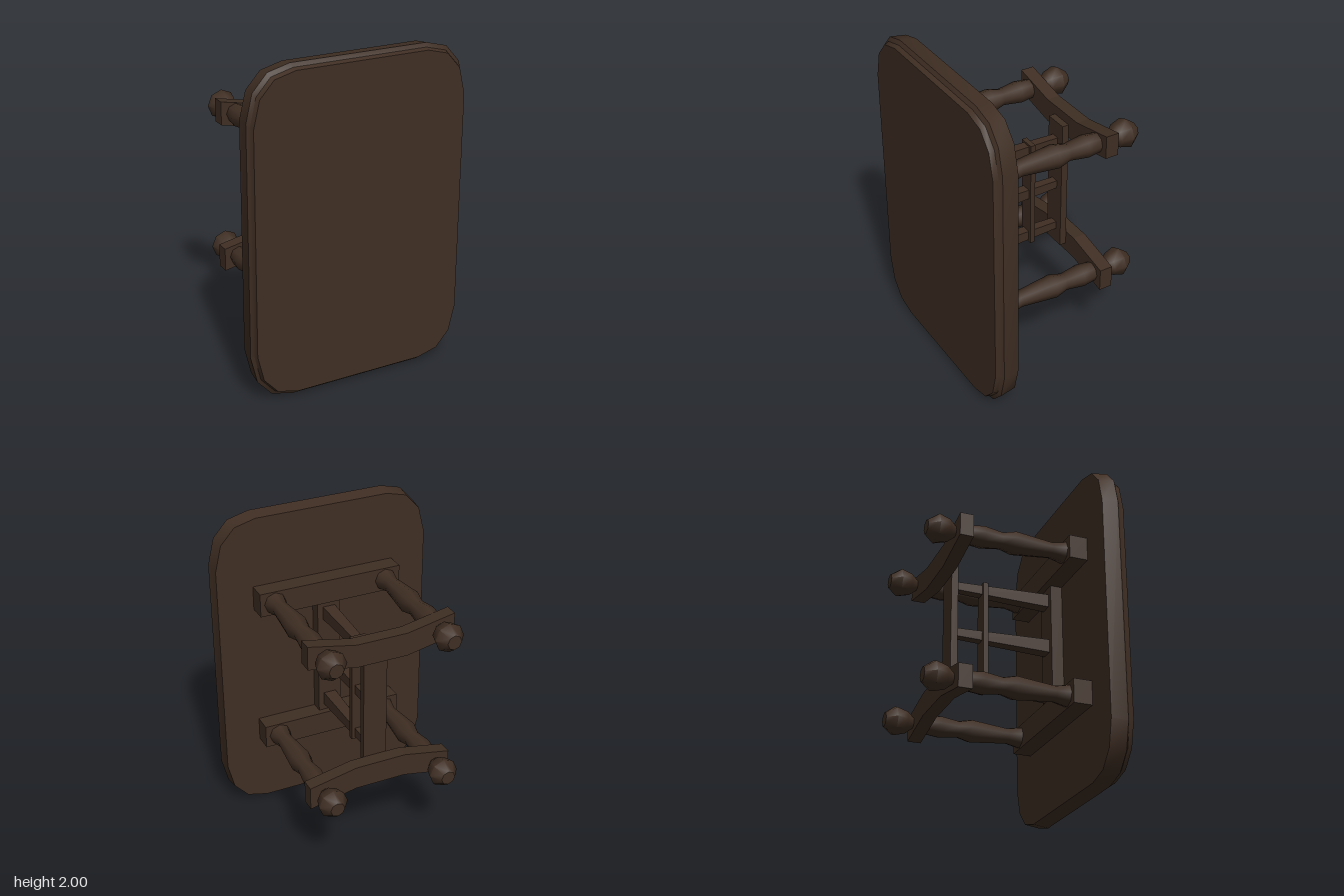
import * as THREE from 'three';
import { toCreasedNormals } from 'three/addons/utils/BufferGeometryUtils.js';

export function createModel() {
  const model = new THREE.Group();
  const wood = new THREE.MeshStandardMaterial({ color: 0x3f2e23 });
  wood.name = 'dark wood';

  const add = (name, geometry, x = 0, y = 0, z = 0) => {
    const mesh = new THREE.Mesh(geometry, wood);
    mesh.name = name;
    mesh.position.set(x, y, z);
    model.add(mesh);
    return mesh;
  };

  // Box given by half width, y range and z range
  const block = (name, hx, y0, y1, z0, z1) =>
    add(name, new THREE.BoxGeometry(hx * 2, y1 - y0, z1 - z0), 0, (y0 + y1) / 2, (z0 + z1) / 2);

  // Turned part around the z axis, from [radius, z] pairs running towards the back
  const turned = (profile, crease) => {
    const points = profile.map(([r, z]) => new THREE.Vector2(r, -z));
    const geometry = new THREE.LatheGeometry(points, 8).rotateX(-Math.PI / 2);
    return crease ? toCreasedNormals(geometry, crease) : geometry;
  };

  // Table top: a rounded outline lofted through a moulded edge
  const corner = [[0.695, 0.7], [0.655, 0.865], [0.565, 0.965], [0.43, 1]];
  const flip = (sx, sy, list) => list.map(([x, y]) => [x * sx, y * sy]);
  const back = [...corner].reverse();
  const outline = [
    ...corner, ...flip(-1, 1, back), ...flip(-1, -1, corner), ...flip(1, -1, back),
  ];
  const sections = [
    [0, 0.42], [0.987, 0.42], [1, 0.52], [0.977, 0.535], [0.967, 0.565], [0, 0.565],
  ];
  const positions = [];
  const index = [];
  const n = outline.length;
  sections.forEach(([s, z], i) => {
    outline.forEach(([x, y], j) => {
      positions.push(x * s, y * s, z);
      if (i === sections.length - 1) return;
      const a = i * n + j, b = i * n + (j + 1) % n;
      if (i > 0) index.push(a, b, a + n);
      if (i < sections.length - 2) index.push(b, b + n, a + n);
      if (i === 0) index.push(b, b + n, a + n);
    });
  });
  const top = new THREE.BufferGeometry();
  top.setAttribute('position', new THREE.Float32BufferAttribute(positions, 3));
  top.setIndex(index);
  add('tableTop', toCreasedNormals(top, 0.6), 0, 1, 0);

  // Two leg frames, mirrored about mid height
  const legGeometry = turned([
    [0.07, 0.31], [0.05, 0.22], [0.074, -0.02], [0.053, -0.1], [0.07, -0.22], [0.06, -0.31],
  ]);
  const ballGeometry = turned([
    [0.03, -0.385], [0.072, -0.435], [0.092, -0.505], [0.045, -0.567], [0, -0.567],
  ], 0.9);

  for (const side of [1, -1]) {
    const label = side > 0 ? 'upper' : 'lower';
    const legY = side > 0 ? 1.475 : 0.54;
    block(label + 'TopRail', 0.46, legY - 0.075, legY + 0.075, 0.305, 0.42);

    for (const x of [-0.365, 0.365]) {
      add(label + 'Leg', legGeometry, x, legY);
      add(label + 'BallFoot', ballGeometry, x, legY);
    }

    // Foot rail bowed towards the middle of the table
    const bow = -0.06 * side;
    const shape = new THREE.Shape([
      [-0.46, -0.073], [-0.16, -0.073 + bow], [0.16, -0.073 + bow], [0.46, -0.073],
      [0.46, 0.073], [0.16, 0.073 + bow], [-0.16, 0.073 + bow], [-0.46, 0.073],
    ].map(([x, y]) => new THREE.Vector2(x, y)));
    const rail = new THREE.ExtrudeGeometry(shape, { depth: 0.085, bevelEnabled: false });
    add(label + 'FootRail', rail, 0, side > 0 ? 1.485 : 0.528, -0.39);
  }

  // Central stretcher lattice
  block('topStretcher', 0.075, 0.6, 1.41, 0.345, 0.42);
  block('footStretcher', 0.075, 0.57, 1.44, -0.305, -0.262);
  block('crossStrip', 0.05, 0.65, 1.355, -0.09, -0.058);

  // Tapered spindles between the stretchers
  const spindle = new THREE.BoxGeometry(0.08, 0.085, 0.61);
  const p = spindle.attributes.position;
  for (let i = 0; i < p.count; i++) {
    if (p.getZ(i) < 0) p.setXY(i, p.getX(i) * 0.64, p.getY(i) * 0.6);
  }
  spindle.computeVertexNormals();
  for (const y of [0.695, 1.003, 1.312]) add('spindle', spindle, 0, y, 0.042);

  return model;
}
